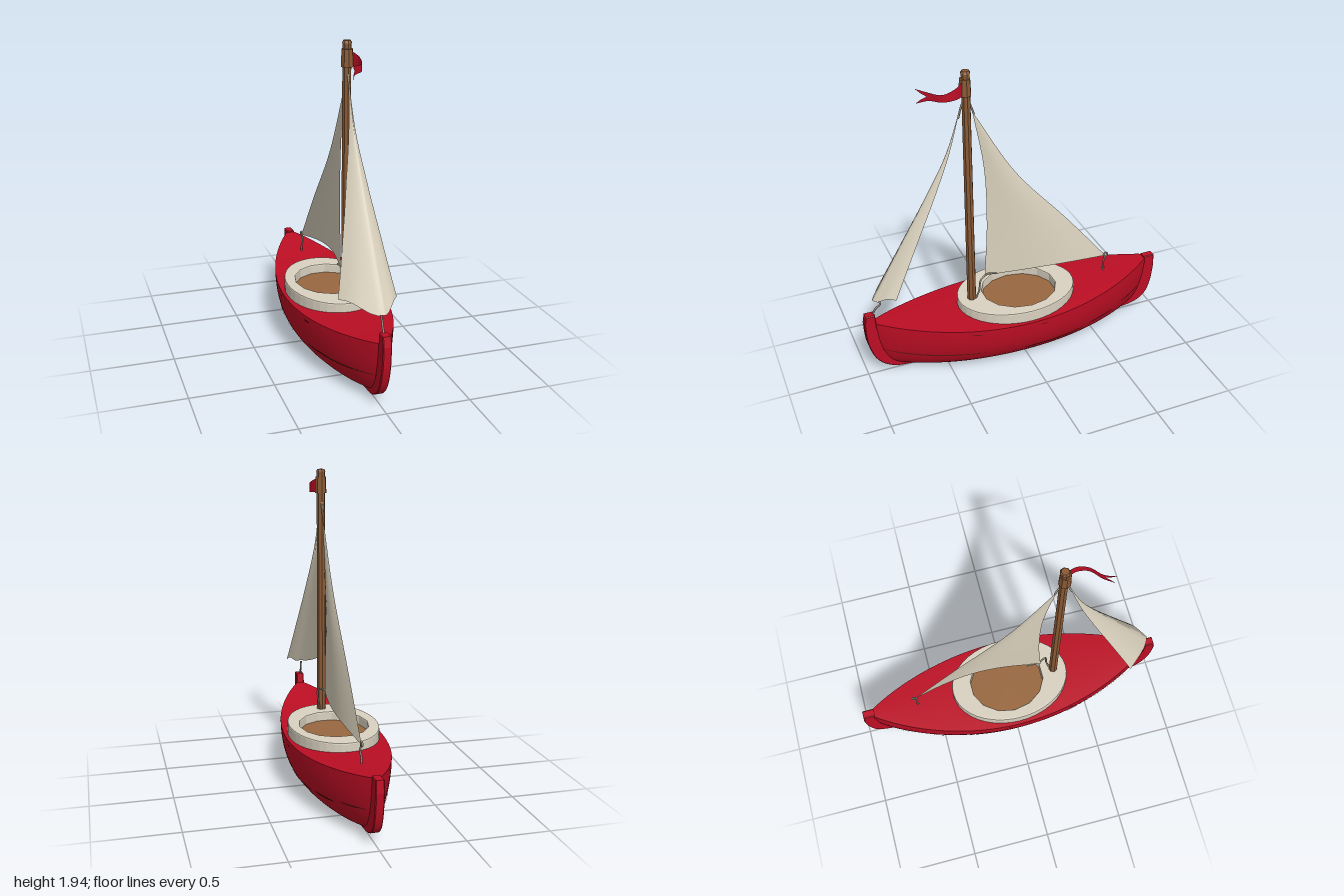
import * as THREE from 'three';

const mat = (name, color, side = THREE.FrontSide, flatShading = false) => {
  const m = new THREE.MeshStandardMaterial({ color, side, flatShading });
  m.name = name;
  return m;
};

// Surface from a rule: f(u, v) returns [x, y, z]; it faces Pu x Pv
function grid(nu, nv, f) {
  const pos = [], idx = [];
  for (let i = 0; i <= nu; i++) for (let j = 0; j <= nv; j++) pos.push(...f(i / nu, j / nv));
  for (let i = 0; i < nu; i++) for (let j = 0; j < nv; j++) {
    const a = i * (nv + 1) + j, b = a + nv + 1;
    idx.push(a, b, a + 1, b, b + 1, a + 1);
  }
  const g = new THREE.BufferGeometry();
  g.setAttribute('position', new THREE.Float32BufferAttribute(pos, 3));
  g.setIndex(idx);
  g.computeVertexNormals();
  return g;
}

// Hull lines, u from -1 (stern) to 1 (bow)
const halfWidth = u => 0.295 * Math.pow(Math.max(0, 1 - u * u), 0.9);
const sheer = u => 0.325 + 0.075 * u * u;
const keelY = u => 0.008 + 0.05 * u ** 4;
function hullPoint(u, v) {
  const a = v * Math.PI, c = Math.cos(a), s = Math.sin(a);
  return [
    halfWidth(u) * 1.01 * Math.sign(c) * Math.sqrt(Math.abs(c)),
    sheer(u) - (sheer(u) - keelY(u)) * s,
    u * (0.96 - 0.14 * (1 - Math.abs(c))),
  ];
}

const curve = pts => new THREE.CatmullRomCurve3(pts.map(p => new THREE.Vector3(...p)));

export function createModel() {
  const model = new THREE.Group();
  const red = mat('red paint', 0xbd0e24);
  const flagRed = mat('flag red', 0xbd0e26, THREE.DoubleSide);
  const seamRed = mat('dark seam', 0x6e1612, THREE.DoubleSide);
  const wood = mat('mast wood', 0x8a5a36, THREE.FrontSide, true);
  const floorWood = mat('floor wood', 0x99673f);
  const cream = mat('cream rim', 0xdad2c1);
  const canvas = mat('sail canvas', 0xdad1bd, THREE.DoubleSide);
  const cord = mat('rope', 0xa79e8d);

  const add = (name, geo, material, x = 0, y = 0, z = 0) => {
    const m = new THREE.Mesh(geo, material);
    m.name = name;
    m.position.set(x, y, z);
    model.add(m);
    return m;
  };

  // Hull and cambered deck
  add('hull', grid(40, 28, (u, v) => hullPoint(2 * u - 1, v)), red);
  add('deck', grid(40, 6, (i, j) => {
    const u = 2 * i - 1, k = 2 * j - 1;
    return [halfWidth(u) * 1.01 * k, sheer(u) + 0.008 * (1 - k * k) * (1 - u * u), 0.96 * u];
  }), red);

  // Stem and stern posts: [z, y] outlines, extruded across x
  const post = (name, top, outer, inner) => {
    const s = new THREE.Shape();
    s.moveTo(...top[0]);
    top.slice(1).forEach(p => s.lineTo(...p));
    s.splineThru(outer.map(p => new THREE.Vector2(...p)));
    inner.forEach(p => s.lineTo(...p));
    const g = new THREE.ExtrudeGeometry(s, {
      depth: 0.042, bevelSize: 0.005, bevelThickness: 0.005, bevelSegments: 1, curveSegments: 20,
    });
    g.translate(0, 0, -0.021).rotateY(-Math.PI / 2);
    add(name, g, red);
  };
  post('stemPost', [[0.935, 0.455], [0.985, 0.455], [0.995, 0.4]],
    [[0.985, 0.26], [0.94, 0.13], [0.86, 0.055], [0.75, 0.027], [0.4, 0.007]],
    [[0.4, 0.05], [0.75, 0.1], [0.88, 0.22], [0.93, 0.36]]);
  post('sternPost', [[-0.925, 0.4], [-0.99, 0.4], [-0.995, 0.33]],
    [[-0.98, 0.2], [-0.94, 0.1], [-0.86, 0.052], [-0.75, 0.035], [-0.4, 0.008]],
    [[-0.4, 0.05], [-0.75, 0.1], [-0.88, 0.22], [-0.93, 0.36]]);

  // Worn plank seams, mirrored: start u, end u, position v, width
  const seams = [[0.32, 0.98, 0.2, 0.014], [-0.42, 0.06, 0.225, 0.018], [-0.68, -0.46, 0.21, 0.014],
    [-0.95, -0.74, 0.19, 0.012], [0.34, 0.41, 0.025, 0.009], [-0.1, -0.05, 0.025, 0.009]];
  for (const side of [1, -1]) for (const [u0, u1, v0, w] of seams) {
    add('plankSeam', grid(14, 1, (i, j) => {
      const u = u0 + (u1 - u0) * i;
      const v = v0 + w * (j - 0.5) * Math.sqrt(Math.sin(Math.PI * i) + 1e-6);
      const [x, y, z] = hullPoint(u, v);
      return [side * (x + 0.004), y - 0.002, z];
    }), seamRed);
  }

  // Cockpit rim and floor
  const rim = new THREE.Shape();
  rim.absellipse(0, 0, 0.27, 0.38, 0, Math.PI * 2);
  const hole = new THREE.Path();
  const N = 14;
  for (let i = 0; i <= N; i++) {
    const a = (i / N) * Math.PI * 2, p = [0.222 * Math.cos(a), 0.02 + 0.25 * Math.sin(a)];
    i ? hole.lineTo(...p) : hole.moveTo(...p);
  }
  rim.holes.push(hole);
  const rimGeo = new THREE.ExtrudeGeometry(rim, {
    depth: 0.082, bevelSize: 0.008, bevelThickness: 0.008, bevelSegments: 2, curveSegments: 20,
  });
  add('cockpitRim', rimGeo.rotateX(-Math.PI / 2), cream, 0, 0.31, 0);
  const floor = new THREE.CircleGeometry(1, 24).rotateX(-Math.PI / 2).scale(0.235, 1, 0.265);
  add('cockpitFloor', floor, floorWood, 0, 0.342, -0.02);

  // Mast with a collar for the flag
  add('mast', new THREE.CylinderGeometry(0.026, 0.029, 1.62, 8), wood, 0, 1.125, 0.3);
  add('mastTip', new THREE.CylinderGeometry(0.022, 0.03, 0.014, 8), wood, 0, 1.935, 0.3);
  add('mastCollar', new THREE.CylinderGeometry(0.033, 0.037, 0.1, 8), wood, 0, 1.845, 0.305);

  // Swallowtail flag
  const flagTop = curve([[0.02, 1.885, 0.32], [0.045, 1.86, 0.38], [0.035, 1.835, 0.45], [-0.025, 1.835, 0.51], [-0.06, 1.855, 0.575]]);
  const flagLow = curve([[0.02, 1.8, 0.32], [0.045, 1.795, 0.38], [0.035, 1.79, 0.45], [-0.025, 1.785, 0.51], [-0.06, 1.765, 0.575]]);
  add('flag', grid(20, 4, (u, v) => {
    const notch = 1 - 0.22 * u ** 3 * (1 - Math.abs(2 * v - 1));
    return flagTop.getPoint(u * notch).lerp(flagLow.getPoint(u * notch), v).toArray();
  }), flagRed);

  // Mainsail, bellied to the left
  const luff = curve([[0, 1.69, 0.265], [0, 1.3, 0.2], [0, 0.9, 0.19], [0, 0.545, 0.21]]);
  const leech = curve([[0, 1.67, 0.255], [0, 1.24, 0], [0, 0.83, -0.35], [0, 0.475, -0.64]]);
  add('mainSail', grid(20, 12, (t, u) => {
    const p = luff.getPoint(t).lerp(leech.getPoint(t), u), b = Math.sin(Math.PI * u) * t;
    return [p.x + 0.05 * b, p.y + 0.03 * b * t, p.z];
  }), canvas);

  // Foresail folded around its forward edge
  const fore = curve([[0, 1.76, 0.325], [0, 1.45, 0.43], [0, 1.2, 0.56], [0, 0.9, 0.735], [0, 0.56, 0.935]]);
  add('foreSail', grid(20, 12, (t, j) => {
    const p = fore.getPoint(t), k = 2 * j - 1, a = Math.abs(k), w = 0.012 + 0.988 * t ** 1.6;
    const [dx, dz] = k < 0 ? [-0.2, 0.18] : [0.12, 0.12];
    const ripple = 0.012 * Math.sin(a * Math.PI * 2) * t ** 4;
    return [dx * a * w, p.y + 0.045 * a * t * t - ripple, p.z - dz * w * a ** 1.4];
  }), canvas);

  // Ropes and the clew ring
  const rope = (name, pts) => add(name, new THREE.TubeGeometry(curve(pts), 16, 0.006, 6), cord);
  rope('foreRope', [[0, 0.56, 0.9], [0.005, 0.52, 0.89], [0, 0.49, 0.92], [0, 0.44, 0.945]]);
  rope('clewRope', [[0, 0.48, -0.64], [0.005, 0.44, -0.625], [-0.004, 0.39, -0.63], [0, 0.34, -0.625]]);
  rope('tackRope', [[0.01, 0.548, 0.12], [0.01, 0.556, 0.2], [0.035, 0.54, 0.25], [0.03, 0.46, 0.26], [0.01, 0.39, 0.28]]);
  rope('mainHeadRope', [[0, 1.67, 0.255], [0, 1.73, 0.275], [0, 1.78, 0.3]]);
  rope('foreHeadRope', [[0, 1.66, 0.35], [0, 1.73, 0.33], [0, 1.78, 0.31]]);
  add('clewRing', new THREE.TorusGeometry(0.014, 0.006, 6, 14).rotateY(Math.PI / 2), cord, 0, 0.482, -0.64);

  return model;
}
